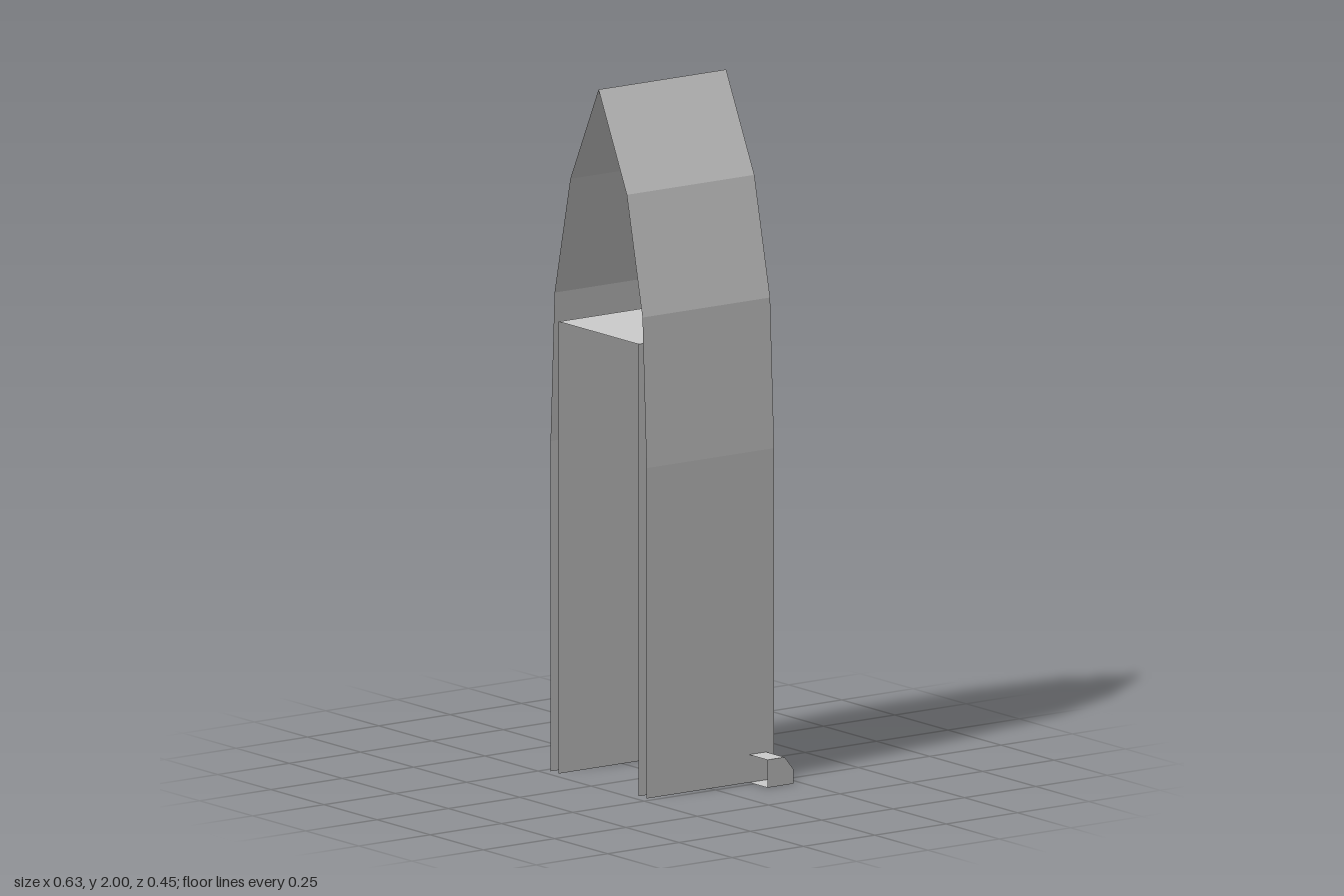
import * as THREE from 'three';

const FRONT = 0.224, BACK = -0.223;   // depth range of the canopy
const DOOR = 0.188, DOOR_TOP = 1.3;   // half width and height of the doorway
const SILL_TOP = 0.08, SILL_EDGE = 0.042;

// Right half of the pointed arch, bottom to tip
const HALF = [[0.226, 0], [0.226, 0.95], [0.207, 1.38], [0.133, 1.72], [0, 2]];

// Thin open sheet joining two equal polylines, with one flat quad per segment
function sheet(a, b) {
  const pos = [];
  for (let i = 0; i < a.length - 1; i++) {
    pos.push(...a[i], ...a[i + 1], ...b[i + 1], ...a[i], ...b[i + 1], ...b[i]);
  }
  const g = new THREE.BufferGeometry();
  g.setAttribute('position', new THREE.Float32BufferAttribute(pos, 3));
  g.computeVertexNormals();
  return g;
}

// Sweep an xy polyline between two depths
const sweepZ = (pts, z0, z1) =>
  sheet(pts.map(([x, y]) => [x, y, z0]), pts.map(([x, y]) => [x, y, z1]));

export function createModel() {
  const group = new THREE.Group();
  const grey = new THREE.MeshStandardMaterial({ color: 0xcccccc, side: THREE.DoubleSide });
  grey.name = 'plain grey';
  const add = (name, geometry) => {
    const mesh = new THREE.Mesh(geometry, grey);
    mesh.name = name;
    group.add(mesh);
    return mesh;
  };

  // Pointed outer shell, open at the front
  const left = HALF.slice(0, -1).map(([x, y]) => [-x, y]).reverse();
  add('archShell', sweepZ([...HALF, ...left], FRONT, BACK));

  // Back wall with the doorway cut out, its jambs resting on the sill
  const wall = new THREE.Shape();
  wall.moveTo(HALF[0][0], SILL_EDGE);
  HALF.slice(1).forEach(([x, y]) => wall.lineTo(x, y));
  left.slice(0, -1).forEach(([x, y]) => wall.lineTo(x, y));
  wall.lineTo(-HALF[0][0], SILL_EDGE);
  wall.lineTo(-DOOR, SILL_EDGE);
  wall.lineTo(-DOOR, DOOR_TOP);
  wall.lineTo(DOOR, DOOR_TOP);
  wall.lineTo(DOOR, SILL_EDGE);
  add('backWall', new THREE.ShapeGeometry(wall).rotateY(Math.PI)).position.z = BACK;

  // Passage lining: two side walls and a ceiling
  add('passageLining', sweepZ(
    [[DOOR, 0], [DOOR, DOOR_TOP], [-DOOR, DOOR_TOP], [-DOOR, 0]], FRONT, BACK));

  // Recessed door panel
  const panel = add('doorPanel', new THREE.PlaneGeometry(2 * DOOR, DOOR_TOP - SILL_TOP).rotateY(Math.PI));
  panel.position.set(0, (DOOR_TOP + SILL_TOP) / 2, -0.195);

  // Sill with a chamfered back edge, open towards the passage
  const section = [[-0.135, SILL_TOP], [-0.195, SILL_TOP], [-0.226, SILL_EDGE], [-0.226, 0], [-0.135, 0]];
  add('sill', sheet(section.map(([z, y]) => [-0.313, y, z]), section.map(([z, y]) => [0.313, y, z])));

  // Sill end caps
  const cap = new THREE.Shape(section.map(([z, y]) => new THREE.Vector2(-z, y)));
  for (const side of [-1, 1]) {
    add('sillEnd', new THREE.ShapeGeometry(cap).rotateY(Math.PI / 2)).position.x = side * 0.313;
  }
  return group;
}
